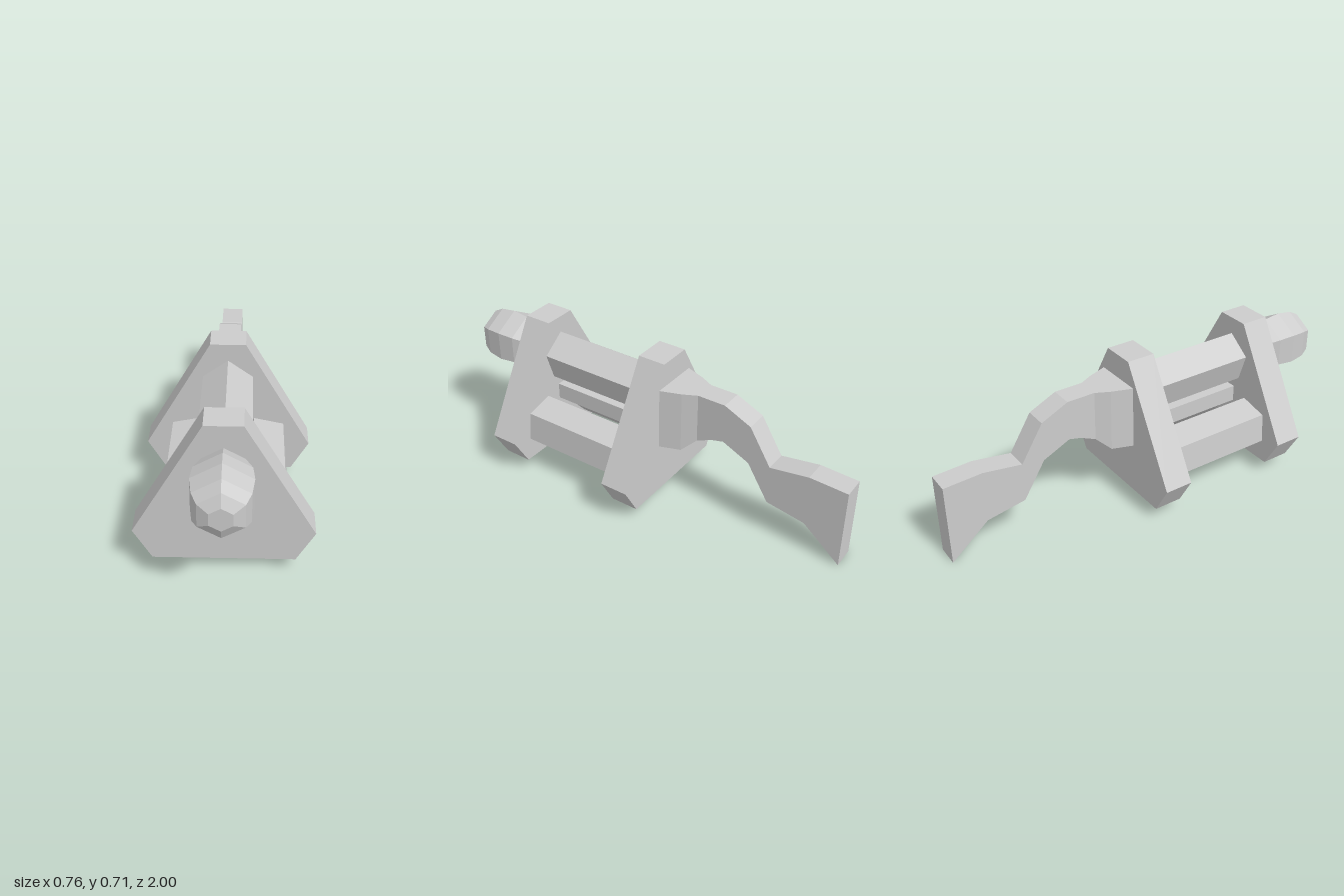
import * as THREE from 'three';

const material = new THREE.MeshStandardMaterial({ color: 0xcccccc, flatShading: true });
const PLATE_Z = [[0.55, 0.685], [-0.105, 0.03]]; // back and front of each plate
const CENTRE_Y = 0.321;

function addPart(parent, name, geometry) {
  const mesh = new THREE.Mesh(geometry, material);
  mesh.name = name;
  parent.add(mesh);
  return mesh;
}

// Straight prism along z from an outline in x, y
function prism(points, z0, z1) {
  const shape = new THREE.Shape(points.map(([x, y]) => new THREE.Vector2(x, y)));
  return new THREE.ExtrudeGeometry(shape, { depth: z1 - z0, bevelEnabled: false }).translate(0, 0, z0);
}

// Regular polygon with its first corner at the given angle
function polygon(sides, radius, cx, cy, angle) {
  return Array.from({ length: sides }, (_, i) => {
    const a = angle + (i * 2 * Math.PI) / sides;
    return [cx + radius * Math.cos(a), cy + radius * Math.sin(a)];
  });
}

// Solid swept through rectangular sections [z, bottom, top, halfWidth], front to back
function loftBar(sections) {
  const positions = [];
  const index = [];
  sections.forEach(([z, b, t, w], i) => {
    positions.push(w, t, z, -w, t, z, -w, b, z, w, b, z);
    if (i === 0) return;
    for (let j = 0; j < 4; j++) {
      const k = (j + 1) % 4;
      const f = (i - 1) * 4;
      const r = i * 4;
      index.push(f + j, r + j, r + k, f + j, r + k, f + k);
    }
  });
  const e = (sections.length - 1) * 4;
  index.push(0, 1, 2, 0, 2, 3, e, e + 3, e + 2, e, e + 2, e + 1);
  const geometry = new THREE.BufferGeometry();
  geometry.setAttribute('position', new THREE.Float32BufferAttribute(positions, 3));
  geometry.setIndex(index);
  const flat = geometry.toNonIndexed();
  flat.computeVertexNormals();
  return flat;
}

export function createModel() {
  const model = new THREE.Group();
  model.name = 'crankedRoller';

  // Two triangular end plates with cut corners
  const outline = [
    [-0.3, 0.053], [0.3, 0.053], [0.38, 0.193],
    [0.08, 0.715], [-0.08, 0.715], [-0.38, 0.193],
  ];
  PLATE_Z.forEach(([z0, z1], i) => {
    addPart(model, i ? 'backPlate' : 'frontPlate', prism(outline, z0, z1));
  });

  // Three five-sided rods around the axis, each with a corner pointing outwards
  const rods = new THREE.Group();
  rods.name = 'rods';
  model.add(rods);
  for (let i = 0; i < 3; i++) {
    const a = Math.PI / 2 + (i * 2 * Math.PI) / 3;
    const cx = 0.195 * Math.cos(a);
    const cy = CENTRE_Y + 0.195 * Math.sin(a);
    addPart(rods, 'rod', prism(polygon(5, 0.119, cx, cy, a), 0.03, 0.55));
  }

  // Thin square spindle on the axis
  addPart(model, 'spindle', new THREE.BoxGeometry(0.08, 0.08, 0.52)).position.set(0, CENTRE_Y, 0.29);

  // Six-sided rounded knob on the front plate
  const profile = [
    [0, 0.68], [0.098, 0.68], [0.134, 0.765], [0.143, 0.845],
    [0.131, 0.925], [0.105, 0.975], [0.053, 1], [0, 1],
  ].map(([r, z]) => new THREE.Vector2(r, z));
  const knob = addPart(model, 'knob', new THREE.LatheGeometry(profile, 6).rotateX(Math.PI / 2));
  knob.position.y = 0.515;

  // Bent arm behind the back plate, flaring to a paddle
  addPart(model, 'arm', loftBar([
    [-0.1, 0.3, 0.6, 0.12],
    [-0.2, 0.3, 0.6, 0.085],
    [-0.265, 0.36, 0.6, 0.053],
    [-0.34, 0.395, 0.6, 0.053],
    [-0.4, 0.41, 0.6, 0.053],
    [-0.53, 0.35, 0.54, 0.053],
    [-0.635, 0.18, 0.37, 0.053],
    [-0.82, 0.15, 0.4, 0.053],
    [-1, 0, 0.393, 0.053],
  ]));

  return model;
}
